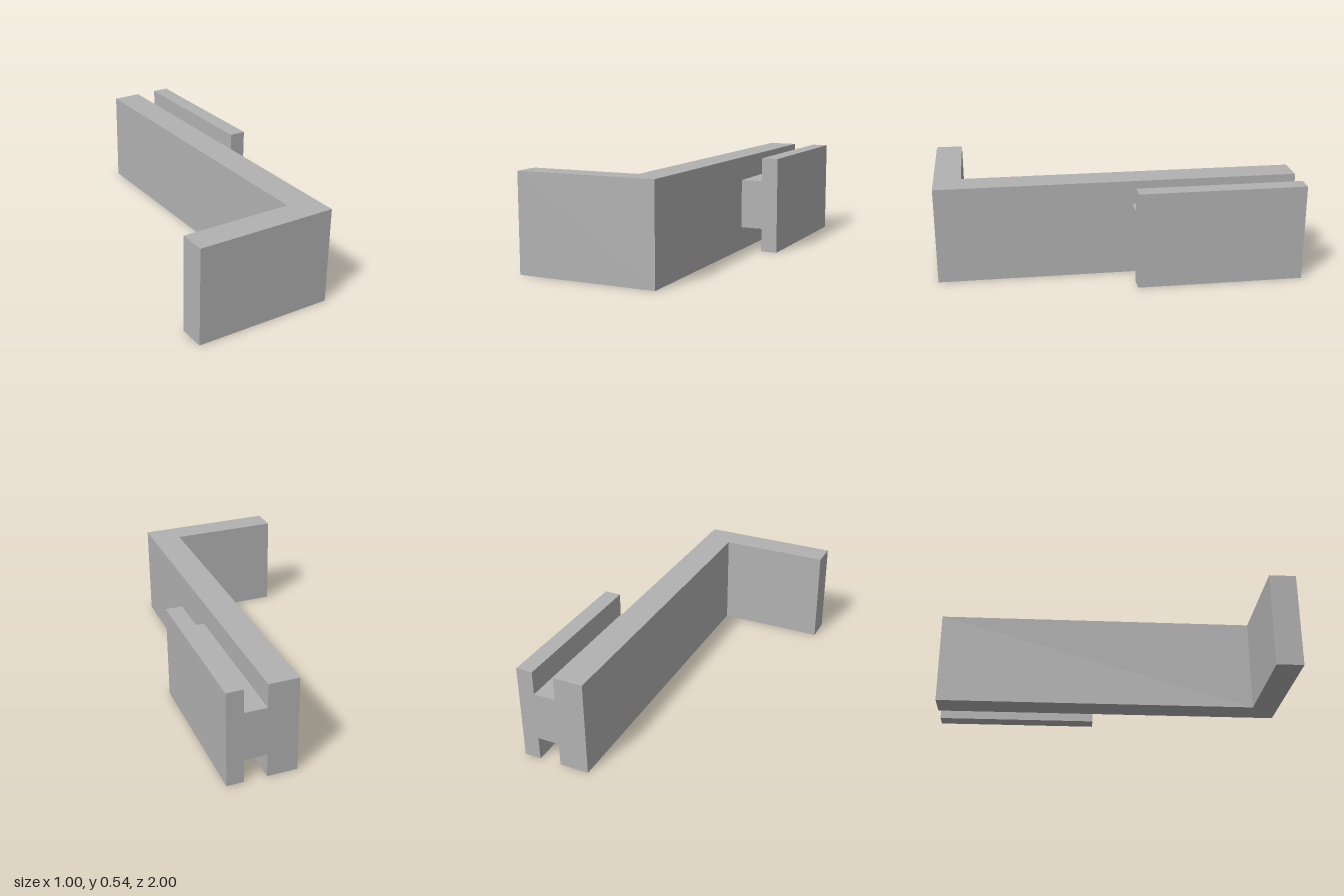
import * as THREE from 'three';

const HEIGHT = 0.54;

export function createModel() {
  const group = new THREE.Group();
  group.name = 'slidingBracket';

  const grey = new THREE.MeshStandardMaterial({ color: 0xb2b2b2 });
  grey.name = 'grey';

  function add(name, geometry) {
    const mesh = new THREE.Mesh(geometry, grey);
    mesh.name = name;
    group.add(mesh);
  }

  // Box given by its minimum and maximum corners
  function block(name, [x0, y0, z0], [x1, y1, z1]) {
    const geometry = new THREE.BoxGeometry(x1 - x0, y1 - y0, z1 - z0);
    geometry.translate((x0 + x1) / 2, (y0 + y1) / 2, (z0 + z1) / 2);
    add(name, geometry);
  }

  // L-shaped arm with its front lip, drawn in plan (x, -z) and extruded upwards
  const plan = new THREE.Shape([
    [-0.5, -1], [0.283, -1], [0.283, 1], [0.117, 1], [0.117, -0.85], [-0.5, -0.85],
  ].map(([x, y]) => new THREE.Vector2(x, y)));
  const arm = new THREE.ExtrudeGeometry(plan, { depth: HEIGHT, bevelEnabled: false });
  arm.rotateX(-Math.PI / 2);
  add('hookArm', arm);

  // Narrow web and outer plate that form the grooves along the rear half
  block('railWeb', [0.283, 0.132, -1], [0.407, 0.408, -0.08]);
  block('railPlate', [0.407, 0, -1], [0.5, HEIGHT, -0.08]);

  return group;
}
